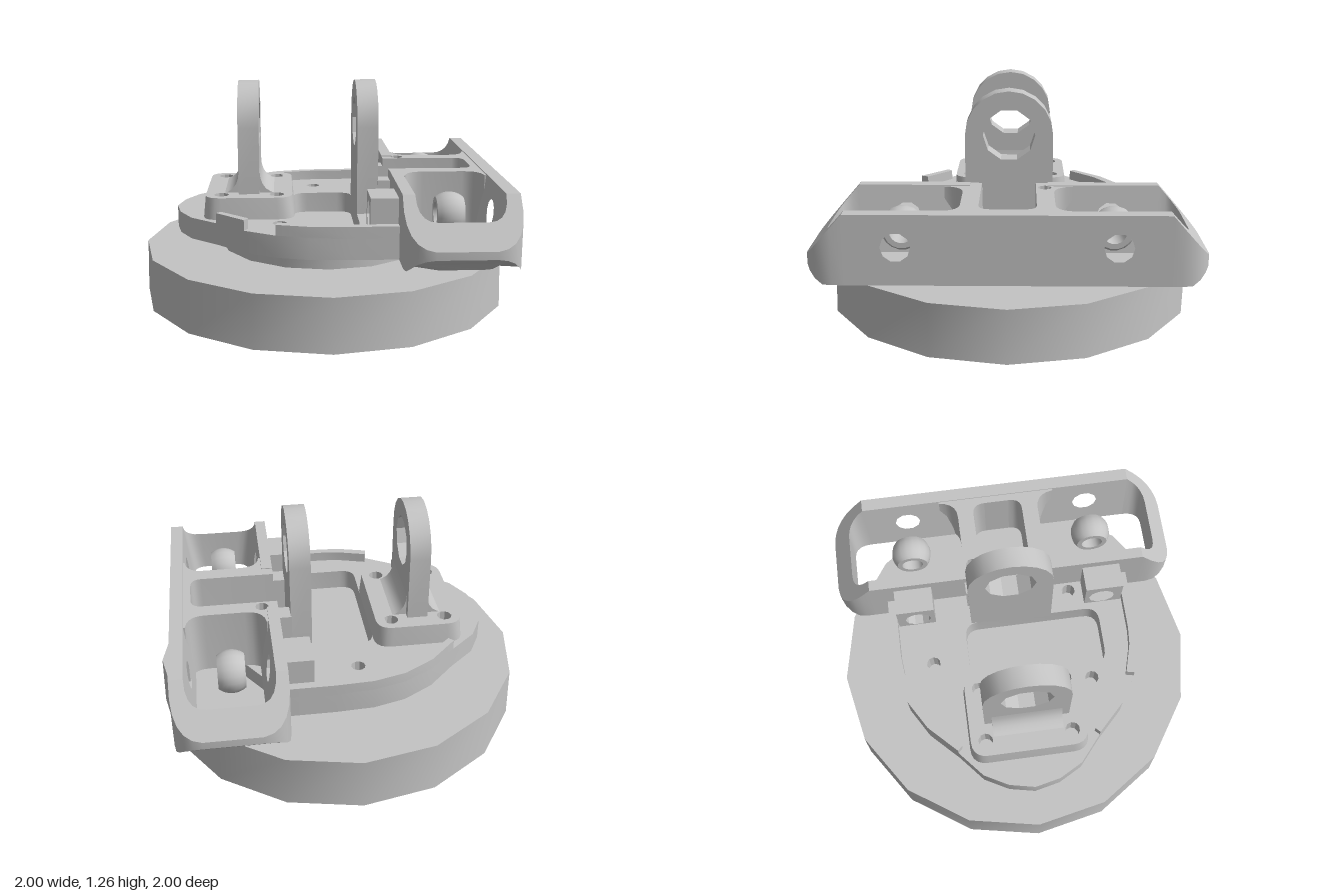
import * as THREE from 'three';
import { toCreasedNormals } from 'three/addons/utils/BufferGeometryUtils.js';

const metal = new THREE.MeshStandardMaterial({ color: 0xc4c4c4 });
metal.name = 'grey metal';

function circleHole(x, y, r) {
  const p = new THREE.Path();
  p.absarc(x, y, r, 0, Math.PI * 2, true);
  return p;
}

function roundedRect(target, x0, y0, x1, y1, r) {
  target.moveTo(x0 + r, y0);
  target.lineTo(x1 - r, y0).quadraticCurveTo(x1, y0, x1, y0 + r);
  target.lineTo(x1, y1 - r).quadraticCurveTo(x1, y1, x1 - r, y1);
  target.lineTo(x0 + r, y1).quadraticCurveTo(x0, y1, x0, y1 - r);
  target.lineTo(x0, y0 + r).quadraticCurveTo(x0, y0, x0 + r, y0);
  return target;
}

const extrude = (shape, depth) =>
  new THREE.ExtrudeGeometry(shape, { depth, bevelEnabled: false, curveSegments: 5 });

// Shape drawn in (-z, y), extruded along x
const alongX = (shape, x0, x1) => extrude(shape, x1 - x0).rotateY(Math.PI / 2).translate(x0, 0, 0);
// Shape drawn in (x, -z), extruded upward
const alongY = (shape, y0, y1) => extrude(shape, y1 - y0).rotateX(-Math.PI / 2).translate(0, y0, 0);

// Moves each vertex by a rule that edits the vector in place
function reshape(geometry, rule) {
  const p = geometry.attributes.position;
  const v = new THREE.Vector3();
  for (let i = 0; i < p.count; i++) {
    rule(v.fromBufferAttribute(p, i));
    p.setXYZ(i, v.x, v.y, v.z);
  }
  return geometry;
}

// Slopes the pocket sides so the pocket narrows towards the bottom
function taperPocket(v) {
  if (v.x < 0.39 || v.x > 0.85) return;
  const t = (0.8 - v.y) / 0.35;
  v.x += t * (0.05 - (0.09 * (v.x - 0.4)) / 0.44);
}

// Side profile rectangle with bores
function sidePanel(z0, z1, y0, y1, bores) {
  const s = new THREE.Shape();
  s.moveTo(-z0, y0).lineTo(-z1, y0).lineTo(-z1, y1).lineTo(-z0, y1);
  bores.forEach((z) => s.holes.push(circleHole(-z, 0.64, 0.072)));
  return s;
}

// Upright eye plate with a rounded top
function lugShape(bottom) {
  const s = new THREE.Shape();
  s.moveTo(-0.23, bottom).lineTo(0.23, bottom).lineTo(0.23, 1.035);
  s.absarc(0, 1.035, 0.23, 0, Math.PI, false);
  s.holes.push(circleHole(0, 1.035, 0.137));
  return s;
}

export function createModel() {
  const group = new THREE.Group();
  const add = (name, geometry) => {
    const mesh = new THREE.Mesh(toCreasedNormals(geometry, 0.6), metal);
    mesh.name = name;
    group.add(mesh);
  };

  // Turntable disc and its hub
  add('disc', new THREE.CylinderGeometry(0.993, 1, 0.28, 16).translate(0, 0.225, 0));
  add('hub', new THREE.CylinderGeometry(0.575, 0.575, 0.45, 16).translate(0, 0.225, 0));

  // Base plate with recess and screw holes
  const edge = [[0.36, 0.69], [0.1, 0.69], [-0.1, 0.68], [-0.27, 0.635], [-0.43, 0.54], [-0.58, 0.39],
    [-0.72, 0.27], [-0.79, 0.14]];
  const plate = new THREE.Shape([
    ...edge, [-0.82, 0], ...edge.map(([x, z]) => [x, -z]).reverse(),
  ].map(([x, z]) => new THREE.Vector2(x, z)));
  plate.holes.push(roundedRect(new THREE.Path(), -0.17, -0.5, 0.165, 0.27, 0.08));
  [[-0.05, -0.47], [-0.25, 0.4], [0.29, 0.35]].forEach(([x, z]) => plate.holes.push(circleHole(x, -z, 0.038)));
  add('basePlate', alongY(plate, 0.45, 0.565));

  // Raised rim: notched at the front, unbroken at the back
  const outer = edge.slice(0, 6);
  const inner = [[-0.555, 0.365], [-0.41, 0.5], [-0.26, 0.59], [-0.1, 0.635], [0, 0.645], [0.36, 0.645]];
  const rims = [
    [1, [...outer.slice(0, 4), ...inner.slice(2)]],
    [1, [...outer.slice(4), ...inner.slice(0, 2)]],
    [-1, [...outer, ...inner]],
  ];
  for (const [s, rim] of rims) {
    add('rim', alongY(new THREE.Shape(rim.map(([x, z]) => new THREE.Vector2(x, -s * z))), 0.56, 0.62));
  }

  // Rear bracket: screwed foot, fillet and eye plate
  const foot = roundedRect(new THREE.Shape(), -0.655, -0.325, -0.17, 0.325, 0.09);
  for (const x of [-0.56, -0.265]) {
    for (const z of [-0.235, 0.235]) foot.holes.push(circleHole(x, z, 0.04));
  }
  // Slight taper on the outer edge of the foot towards the top
  add('bracketFoot', reshape(alongY(foot, 0.565, 0.68), (v) => {
    const x = v.x + 0.4125;
    if (v.y > 0.6 && (Math.abs(x) > 0.2 || Math.abs(v.z) > 0.29)) {
      v.x = x * 0.95 - 0.4125;
      v.z *= 0.97;
    }
  }));
  const flare = new THREE.Shape();
  flare.moveTo(-0.56, 0.675).quadraticCurveTo(-0.47, 0.69, -0.468, 0.8);
  flare.lineTo(-0.357, 0.8).quadraticCurveTo(-0.355, 0.69, -0.265, 0.675);
  add('bracketFillet', extrude(flare, 0.38).translate(0, 0, -0.19));
  add('rearLug', alongX(lugShape(0.66), -0.468, -0.357));

  // Second eye plate, standing in the recess
  add('frontLug', alongX(lugShape(0.45), 0.165, 0.277));

  // Crossbar outer wall
  const outerWall = alongX(sidePanel(-0.77, 0.77, 0.45, 0.8, [-0.525, 0.525]), 0.84, 0.91);
  add('barOuterWall', reshape(outerWall, taperPocket));
  add('barMiddleWall', new THREE.BoxGeometry(0.05, 0.34, 0.17).translate(0.825, 0.625, 0));

  for (const s of [1, -1]) {
    // Inner wall and bored block behind it
    const innerWall = alongX(sidePanel(s * 0.2, s * 0.77, 0.45, 0.8, [s * 0.525]), 0.34, 0.4);
    add('barInnerWall', reshape(innerWall, taperPocket));
    add('boredBlock', alongX(sidePanel(s * 0.43, s * 0.64, 0.56, 0.75, [s * 0.525]), 0.2, 0.345));

    // Rounded, chamfered end of the crossbar
    const v = (z) => -s * z;
    const cap = new THREE.Shape();
    cap.moveTo(0.34, v(0.77)).lineTo(0.34, v(0.83));
    cap.quadraticCurveTo(0.35, v(0.96), 0.48, v(0.97)).lineTo(0.77, v(0.97));
    cap.quadraticCurveTo(0.9, v(0.96), 0.91, v(0.83)).lineTo(0.91, v(0.77)).lineTo(0.84, v(0.77));
    cap.quadraticCurveTo(0.84, v(0.87), 0.74, v(0.87)).lineTo(0.5, v(0.87));
    cap.quadraticCurveTo(0.4, v(0.87), 0.4, v(0.77));
    add('barEnd', reshape(alongY(cap, 0.45, 0.8), (p) => {
      const a = Math.abs(p.z);
      if (a < 0.875) taperPocket(p);
      if (p.y > 0.6) p.y = 0.8 - 1.15 * Math.max(0, a - 0.77);
      else p.y = 0.45 + Math.max(0, a - 0.89);
    }));

    // Cross member between the side pocket and the middle opening
    const arm = new THREE.Shape();
    arm.moveTo(0.34, v(0.14)).lineTo(0.74, v(0.14)).quadraticCurveTo(0.8, v(0.14), 0.8, v(0.07));
    arm.lineTo(0.85, v(0.07)).lineTo(0.85, v(0.33)).lineTo(0.83, v(0.33));
    arm.quadraticCurveTo(0.82, v(0.23), 0.73, v(0.23)).lineTo(0.52, v(0.23));
    arm.quadraticCurveTo(0.42, v(0.23), 0.41, v(0.33)).lineTo(0.34, v(0.33));
    if (s < 0) arm.holes.push(circleHole(0.425, v(0.185), 0.035));
    add('crossMember', alongY(arm, 0.45, 0.795));
    add('armStub', new THREE.BoxGeometry(0.075, 0.3, 0.1).translate(0.31, 0.6, s * 0.19));

    // Spherical bearing in the pocket, axis along x
    const profile = [];
    for (let i = 0; i <= 8; i++) {
      const h = -0.07 + 0.14 * i / 8;
      profile.push(new THREE.Vector2(Math.sqrt(0.0125 - h * h), h));
    }
    profile.push(new THREE.Vector2(0.06, 0.07), new THREE.Vector2(0.06, -0.07), profile[0].clone());
    const ball = new THREE.LatheGeometry(profile, 18);
    add('bearingBall', ball.rotateZ(-Math.PI / 2).translate(0.61, 0.64, s * 0.525));
  }

  return group;
}
